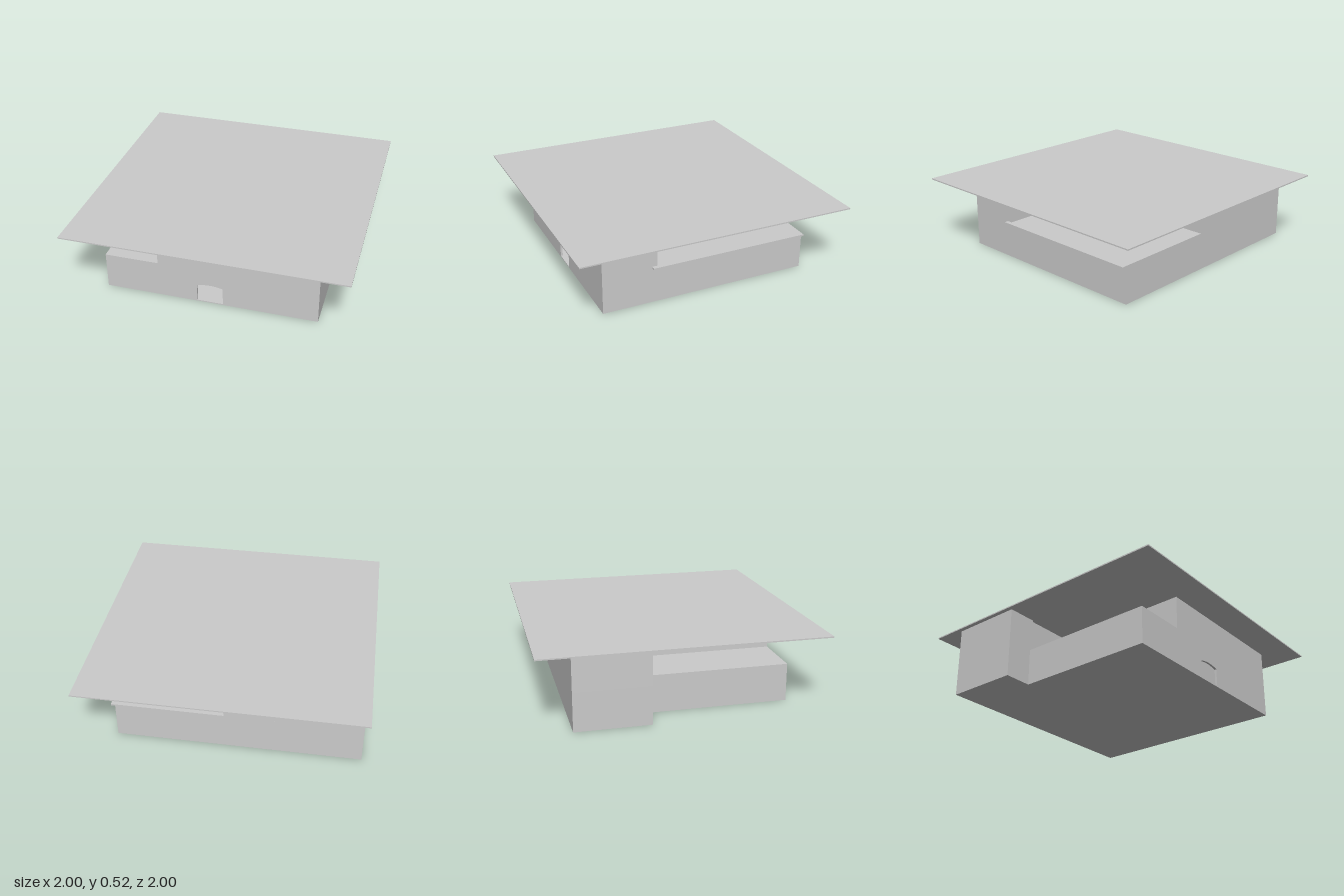
import * as THREE from 'three';

const WALL = 0.015, MID = 0.27, TOP = 0.516;
const material = new THREE.MeshStandardMaterial({ color: 0xcccccc, flatShading: true, side: THREE.DoubleSide });

// Plans are [x, z] corners, ordered so that the inside lies along (-dz, dx).
const lowerPlan = [[-0.97, -0.77], [0.77, -0.77], [0.77, 0.77], [-0.77, 0.77], [-0.77, -0.24], [-0.97, -0.24]];
const upperPlan = [[-0.97, -0.77], [0, -0.77], [0, 0.37], [0.77, 0.37], [0.77, 0.77], [-0.38, 0.77],
  [-0.38, -0.255], [-0.757, -0.255], [-0.757, -0.24], [-0.97, -0.24]];

function prism(name, plan, y0, y1) {
  const shape = new THREE.Shape(plan.map(([x, z]) => new THREE.Vector2(x, -z)));
  const geometry = new THREE.ExtrudeGeometry(shape, { depth: y1 - y0, bevelEnabled: false });
  geometry.rotateX(-Math.PI / 2).translate(0, y0, 0);
  const mesh = new THREE.Mesh(geometry, material);
  mesh.name = name;
  return mesh;
}

function slab(name, x0, x1, y0, y1, z0, z1) {
  return prism(name, [[x0, z0], [x1, z0], [x1, z1], [x0, z1]], y0, y1);
}

// Thin mitred walls along the plan; the edge numbered skip is left open.
function walls(name, plan, y0, y1, skip = -1) {
  const group = new THREE.Group();
  group.name = name;
  const n = plan.length;
  const normal = (i) => {
    const a = plan[i], b = plan[(i + 1) % n];
    return [-Math.sign(b[1] - a[1]), Math.sign(b[0] - a[0])];
  };
  const inner = plan.map(([x, z], i) => {
    const p = normal((i + n - 1) % n), q = normal(i);
    return [x + WALL * (p[0] + q[0]), z + WALL * (p[1] + q[1])];
  });
  for (let i = 0; i < n; i++) {
    const j = (i + 1) % n;
    if (i !== skip) group.add(prism('wall', [plan[i], plan[j], inner[j], inner[i]], y0, y1));
  }
  return group;
}

// Lower front wall with a shallow arched doorway.
function frontWall() {
  const shape = new THREE.Shape();
  shape.moveTo(-0.77, 0);
  shape.lineTo(0.77, 0);
  shape.lineTo(0.77, MID);
  shape.lineTo(-0.77, MID);
  const door = new THREE.Path();
  door.moveTo(-0.095, 0.008);
  door.lineTo(0.092, 0.008);
  door.lineTo(0.092, 0.137);
  door.quadraticCurveTo(0, 0.163, -0.095, 0.137);
  door.closePath();
  shape.holes.push(door);
  const geometry = new THREE.ExtrudeGeometry(shape, { depth: WALL, bevelEnabled: false, curveSegments: 10 });
  const mesh = new THREE.Mesh(geometry.translate(0, 0, 0.77 - WALL), material);
  mesh.name = 'frontWallWithDoorway';
  return mesh;
}

export function createModel() {
  const house = new THREE.Group();
  house.name = 'house';
  house.add(
    prism('groundFloor', lowerPlan, 0, 0.008),
    walls('lowerWalls', lowerPlan, 0, MID, 2),
    frontWall(),
    walls('upperWalls', upperPlan, MID, TOP),
    // Open terraces on two opposite corners
    slab('frontTerrace', -0.77, -0.365, 0.262, MID, -0.27, 0.77),
    slab('backTerrace', -0.03, 0.8, 0.262, 0.274, -0.77, 0.41),
    slab('roof', -1, 1, TOP, 0.525, -1, 1),
  );
  return house;
}
